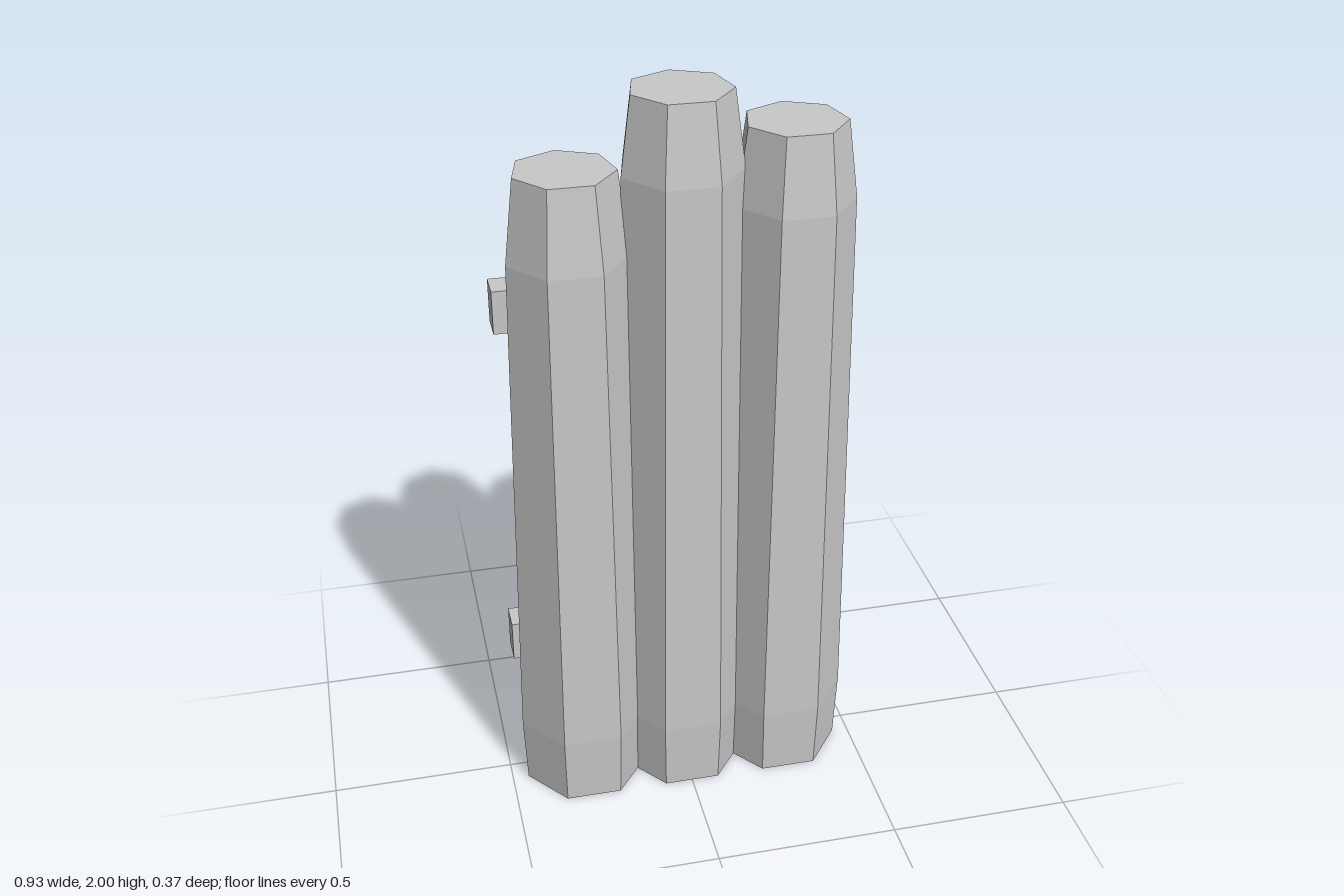
import * as THREE from 'three';

// Tapered seven-sided log with a flat side to the front, an edge to the back and a bevelled top
function logGeometry(height, shoulder) {
  const profile = [
    [0, 0], [0.175, 0], [0.183, 0.2], [0.157, shoulder], [0.13, height], [0, height],
  ].map(([r, y]) => new THREE.Vector2(r, y));
  const geometry = new THREE.LatheGeometry(profile, 7, Math.PI).toNonIndexed();
  geometry.computeVertexNormals(); // one normal per facet
  return geometry;
}

export function createModel() {
  const model = new THREE.Group();
  model.name = 'logPalisade';

  const greyWood = new THREE.MeshStandardMaterial({ color: 0xc8c8c8 });
  greyWood.name = 'greyWood';

  // Three upright logs of different heights
  const logs = [
    ['rightLog', -0.285, 1.82, 1.6],
    ['middleLog', 0, 2, 1.8],
    ['leftLog', 0.285, 1.9, 1.7],
  ];
  for (const [name, x, height, shoulder] of logs) {
    const log = new THREE.Mesh(logGeometry(height, shoulder), greyWood);
    log.name = name;
    log.position.set(x, 0, 0.02);
    model.add(log);
  }

  // Two cross beams holding the logs together at the back
  for (const [name, y] of [['lowerBeam', 0.36], ['upperBeam', 1.4]]) {
    const beam = new THREE.Mesh(new THREE.BoxGeometry(0.92, 0.12, 0.08), greyWood);
    beam.name = name;
    beam.position.set(0, y, -0.146);
    model.add(beam);
  }

  return model;
}
